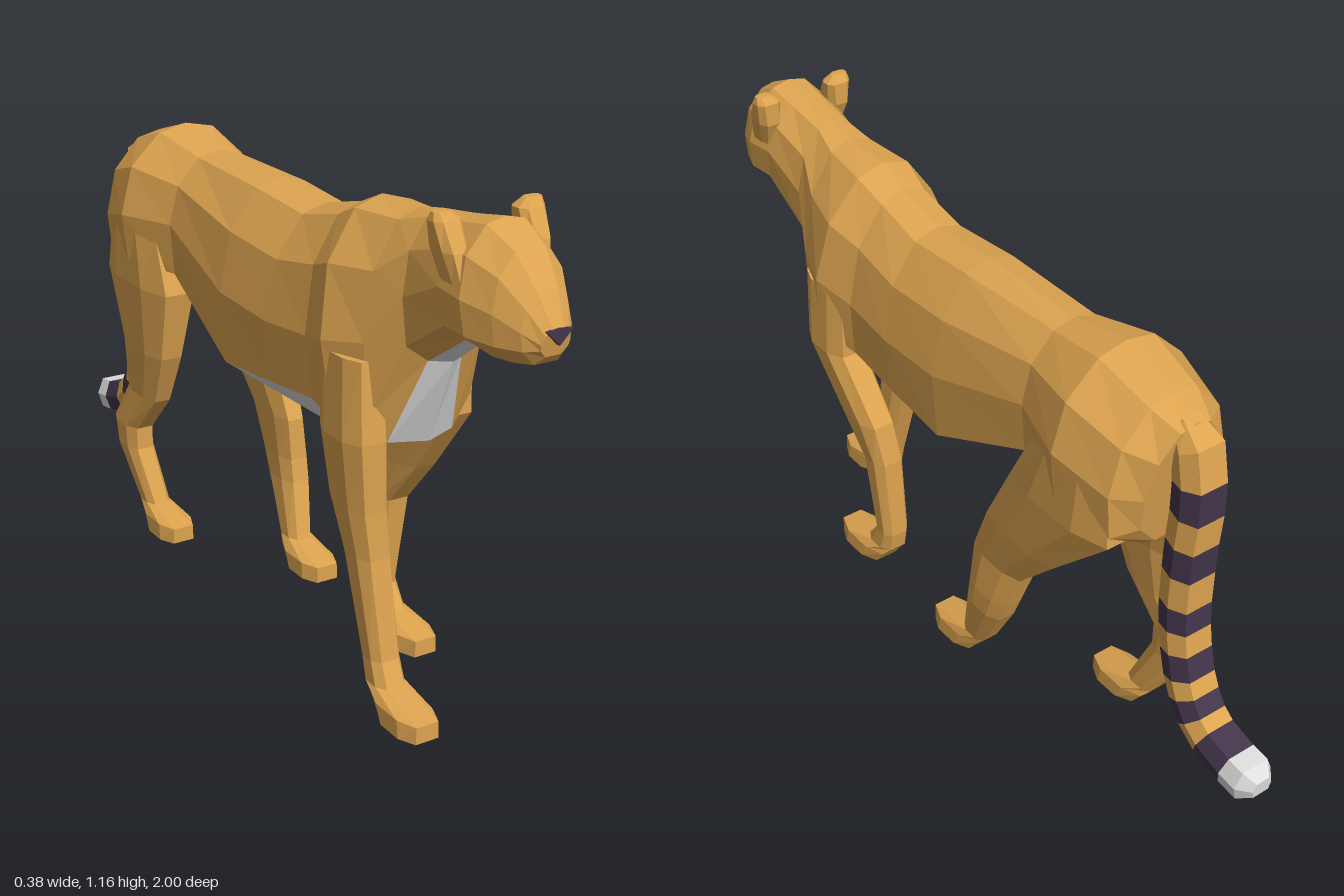
import * as THREE from 'three';

const fur = new THREE.MeshStandardMaterial({ color: 0xdda450 });
fur.name = 'tawny fur';
const pale = new THREE.MeshStandardMaterial({ color: 0xdedede });
pale.name = 'pale fur';
const dark = new THREE.MeshStandardMaterial({ color: 0x43354b });
dark.name = 'dark markings';
const materials = [fur, pale, dark];

// Skin a list of rings with flat facets; colour(i, k) picks the material of facet k in segment i
function loft(name, rings, colour = () => 0) {
  const buckets = [[], [], []];
  const tri = (m, ...pts) => pts.forEach((p) => buckets[m].push(...p));
  const n = rings[0].length;
  for (let i = 0; i < rings.length - 1; i++) {
    for (let k = 0; k < n; k++) {
      const j = (k + 1) % n;
      const [a, b, c, d] = [rings[i][k], rings[i][j], rings[i + 1][j], rings[i + 1][k]];
      const m = colour(i, k);
      tri(m, a, b, c);
      tri(m, a, c, d);
    }
  }
  // End caps
  [0, rings.length - 1].forEach((i) => {
    const r = rings[i];
    const mid = [0, 1, 2].map((q) => r.reduce((s, p) => s + p[q], 0) / n);
    const m = colour(Math.min(i, rings.length - 2), 0);
    for (let k = 0; k < n; k++) {
      const [a, b] = [r[k], r[(k + 1) % n]];
      if (i === 0) tri(m, mid, b, a);
      else tri(m, mid, a, b);
    }
  });
  const geo = new THREE.BufferGeometry();
  geo.setAttribute('position', new THREE.Float32BufferAttribute(buckets.flat(), 3));
  let start = 0;
  buckets.forEach((b, m) => {
    if (b.length) geo.addGroup(start, b.length / 3, m);
    start += b.length / 3;
  });
  geo.computeVertexNormals();
  const mesh = new THREE.Mesh(geo, materials);
  mesh.name = name;
  return mesh;
}

// Symmetric body section: spine (zt, yt), underside (zb, yb), half width w,
// underside half width wE, height yD of the lower flank edge, keel bulge
function bodyRing([zt, yt, zb, yb, w, wE, yD, bulge = 0]) {
  const at = (x, t) => [x, yb + (yt - yb) * t, zb + (zt - zb) * t];
  const tD = (yD - yb) / (yt - yb);
  const side = [at(w * 0.4, 0.96), at(w * 0.83, 0.76), at(w, 0.46), at(w * 0.93, tD), at(wE, 0)];
  const left = side.map(([x, y, z]) => [-x, y, z]);
  return [at(0, 1), ...left, [0, yb, zb + bulge], ...side.reverse()];
}

// Upright limb: profile rows [y, xMin, xMax] from the top, depth rows [zFront, zBack]
function limb(name, sx, profile, depths) {
  const outline = [[1, 0.45], [0.6, 1], [-0.6, 1], [-1, 0.45], [-1, -0.45], [-0.6, -1], [0.6, -1], [1, -0.45]];
  const rings = profile.map(([y, x0, x1], i) => {
    const [zf, zb] = depths[i];
    return outline.map(([u, v]) => [
      sx * (x0 + x1) / 2 + u * (x1 - x0) / 2, y, (zf + zb) / 2 - v * (zf - zb) / 2]);
  });
  return loft(name, rings.reverse());
}

function createModel() {
  const model = new THREE.Group();
  model.name = 'bigCat';

  // Body, neck and head in one skin, rump to muzzle
  const trunk = [
    [-0.71, 1.0, -0.655, 0.68, 0.1, 0.04, 0.74],
    [-0.64, 1.035, -0.63, 0.66, 0.158, 0.05, 0.72],
    [-0.49, 1.08, -0.48, 0.69, 0.188, 0.06, 0.75],
    [-0.32, 1.045, -0.32, 0.73, 0.137, 0.07, 0.75],
    [-0.02, 1.045, -0.02, 0.575, 0.162, 0.075, 0.62],
    [0.18, 1.03, 0.18, 0.565, 0.157, 0.07, 0.635],
    [0.32, 1.065, 0.35, 0.56, 0.15, 0.06, 0.65],
    [0.4, 1.1, 0.48, 0.58, 0.177, 0.075, 0.66],
  ];
  const neckAndHead = [
    [0.54, 1.105, 0.56, 0.61, 0.14, 0.083, 0.68, 0.035],
    [0.62, 1.12, 0.64, 0.81, 0.102, 0.042, 0.85, 0.03],
    [0.73, 1.135, 0.78, 0.905, 0.108, 0.035, 0.935, 0.01],
    [0.82, 1.152, 0.85, 0.885, 0.115, 0.04, 0.935],
    [0.9, 1.115, 0.91, 0.89, 0.09, 0.035, 0.93],
    [0.955, 1.045, 0.96, 0.9, 0.06, 0.028, 0.93],
    [0.994, 0.98, 0.98, 0.92, 0.034, 0.018, 0.935],
  ];
  const rings = trunk.map(bodyRing).concat(neckAndHead.map(bodyRing));
  model.add(loft('body', rings, (i, k) => {
    const centre = k === 5 || k === 6;
    const flank = k === 4 || k === 7;
    if (centre && i >= 3 && i <= 11) return 1;
    return flank && i >= 3 && i <= 5 ? 1 : 0;
  }));

  // Walking legs, each ending in a foot; the pairs stride differently
  const foot = [[0.045, 0.057, 0.15], [0.005, 0.055, 0.152]];
  const frontProfile = [[0.8, 0.08, 0.168], [0.62, 0.075, 0.176], [0.46, 0.07, 0.16],
    [0.35, 0.063, 0.146], [0.12, 0.06, 0.133], [0.067, 0.06, 0.135], ...foot];
  const hindProfile = [[0.84, 0.06, 0.172], [0.69, 0.045, 0.174], [0.51, 0.07, 0.163], [0.375, 0.08, 0.15],
    [0.27, 0.085, 0.16], [0.21, 0.085, 0.16], [0.07, 0.075, 0.14], ...foot];
  model.add(
    limb('frontLegLeft', 1, frontProfile, [[0.53, 0.37], [0.53, 0.375], [0.42, 0.265],
      [0.335, 0.245], [0.305, 0.24], [0.345, 0.25], [0.46, 0.27], [0.46, 0.3]]),
    limb('frontLegRight', -1, frontProfile, [[0.56, 0.4], [0.575, 0.41], [0.57, 0.43],
      [0.575, 0.47], [0.61, 0.535], [0.635, 0.55], [0.765, 0.59], [0.765, 0.62]]),
    limb('hindLegLeft', 1, hindProfile, [[-0.38, -0.62], [-0.3, -0.63], [-0.205, -0.45], [-0.145, -0.32],
      [-0.14, -0.28], [-0.13, -0.255], [-0.09, -0.17], [0.03, -0.145], [0.03, -0.115]]),
    limb('hindLegRight', -1, hindProfile, [[-0.38, -0.62], [-0.33, -0.655], [-0.37, -0.585], [-0.43, -0.585],
      [-0.525, -0.655], [-0.525, -0.635], [-0.465, -0.545], [-0.35, -0.525], [-0.35, -0.495]]),
  );

  // Ears, leaning outward
  const earProfile = [[1.163, 0.09, 0.128], [1.145, 0.068, 0.132], [1.09, 0.072, 0.126], [1.03, 0.08, 0.112]];
  const earDepths = [[0.772, 0.748], [0.785, 0.735], [0.815, 0.735], [0.83, 0.76]];
  model.add(limb('earLeft', 1, earProfile, earDepths), limb('earRight', -1, earProfile, earDepths));

  // Tail: bands on the back and sides, plain inner face, pale tip
  const path = [[0.99, -0.675], [0.95, -0.72], [0.87, -0.735], [0.79, -0.735], [0.71, -0.728], [0.63, -0.725],
    [0.545, -0.724], [0.48, -0.728], [0.42, -0.738], [0.355, -0.755], [0.31, -0.775], [0.265, -0.805],
    [0.235, -0.845], [0.212, -0.92], [0.206, -0.97], [0.204, -1.0]];
  const hex = [[0.054, 0], [0.043, 0.04], [-0.043, 0.04], [-0.054, 0], [-0.036, -0.04], [0.036, -0.04]];
  const last = path.length - 1;
  const tailRings = path.map(([y, z], i) => {
    const [p, q] = [path[Math.max(i - 1, 0)], path[Math.min(i + 1, last)]];
    const len = Math.hypot(q[0] - p[0], q[1] - p[1]);
    const [dy, dz] = [(q[0] - p[0]) / len, (q[1] - p[1]) / len];
    const size = i === last ? 0.5 : i === 0 ? 0.6 : 1;
    return hex.map(([u, v]) => [u * size, y + v * size * dz, z - v * size * dy]);
  });
  model.add(loft('tail', tailRings, (i, k) => {
    if (i >= 13) return 1;
    return i >= 2 && i % 2 === 0 && k !== 1 ? 2 : 0;
  }));

  // Nose
  const outline = [[-0.03, 0.975], [0, 0.945], [0.03, 0.975], [0, 0.98]];
  const shape = new THREE.Shape(outline.map(([x, y]) => new THREE.Vector2(x, y)));
  const nose = new THREE.Mesh(new THREE.ExtrudeGeometry(shape, { depth: 0.009, bevelEnabled: false }), dark);
  nose.name = 'nose';
  nose.position.z = 0.99;
  model.add(nose);

  return model;
}

export { createModel };
